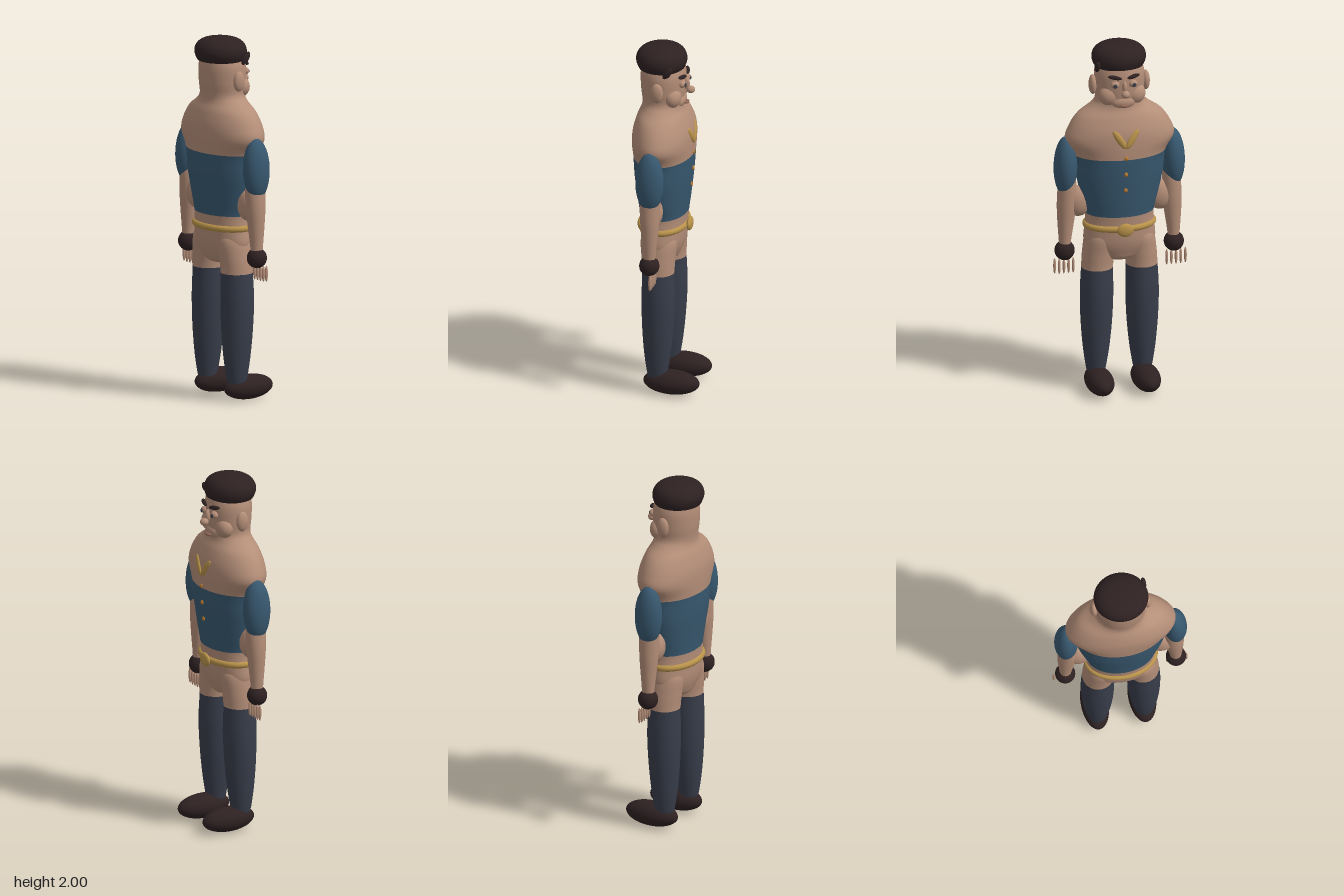
import * as THREE from 'three';

const mat = (name, color) => Object.assign(new THREE.MeshStandardMaterial({ color }), { name });

export function createModel() {
  const skin = mat('skin', 0xb48e78), blue = mat('blueCloth', 0x38586f), slate = mat('slateStocking', 0x383d4a);
  const dark = mat('darkBrown', 0x2e2122), gold = mat('gold', 0xb8924a), amber = mat('amberButton', 0xb87a30);
  const lip = mat('lip', 0x8f6454);
  const group = new THREE.Group();
  group.name = 'figure';

  const add = (name, geo, material) => {
    const m = new THREE.Mesh(geo, material);
    m.name = name;
    group.add(m);
    return m;
  };

  // Scaled sphere at a position, with optional rotation
  const ball = (name, material, pos, radii, rot = [0, 0, 0], seg = 32) => {
    const m = add(name, new THREE.SphereGeometry(1, seg, Math.ceil(seg * 0.7)), material);
    m.position.set(...pos);
    m.scale.set(...radii);
    m.rotation.set(...rot);
    return m;
  };

  // Smooth loft through elliptical rows [y, cx, cz, rx, rz]; bands = [[firstRow, materialIndex], ...]
  const loft = (name, rows, materials, bands = [[0, 0]], N = 48, S = 6) => {
    const centre = new THREE.CatmullRomCurve3(rows.map(r => new THREE.Vector3(r[1], r[0], r[2])), false, 'catmullrom');
    const size = new THREE.CatmullRomCurve3(rows.map(r => new THREE.Vector3(r[3], r[4], 0)), false, 'catmullrom');
    const count = (rows.length - 1) * S, pos = [], idx = [];
    for (let j = 0; j <= count; j++) {
      const c = centre.getPoint(j / count), s = size.getPoint(j / count);
      for (let i = 0; i < N; i++) {
        const a = (i / N) * Math.PI * 2;
        pos.push(c.x + Math.cos(a) * Math.max(s.x, 0.0005), c.y, c.z + Math.sin(a) * Math.max(s.y, 0.0005));
      }
    }
    for (let j = 0; j < count; j++) for (let i = 0; i < N; i++) {
      const a = j * N + i, b = j * N + (i + 1) % N;
      idx.push(a, a + N, b, b, a + N, b + N);
    }
    const g = new THREE.BufferGeometry();
    g.setAttribute('position', new THREE.Float32BufferAttribute(pos, 3));
    g.setIndex(idx);
    g.computeVertexNormals();
    bands.forEach(([row, m], k) => {
      const end = k + 1 < bands.length ? bands[k + 1][0] : rows.length - 1;
      g.addGroup(row * S * N * 6, (end - row) * S * N * 6, m);
    });
    return add(name, g, materials);
  };

  // Hips, shirt, chest, neck and head in one skin
  loft('body', [
    [0.745, 0, 0.035, 0.001, 0.001], [0.765, 0, 0.035, 0.09, 0.075], [0.81, 0, 0.035, 0.165, 0.1],
    [0.87, 0, 0.034, 0.198, 0.117], [0.95, 0, 0.033, 0.193, 0.124], [1.03, 0, 0.032, 0.19, 0.13],
    [1.12, 0, 0.031, 0.212, 0.14], [1.25, 0, 0.032, 0.24, 0.155], [1.375, 0, 0.031, 0.255, 0.163],
    [1.46, 0, 0.032, 0.302, 0.165], [1.53, 0, 0.033, 0.283, 0.16], [1.6, 0, 0.035, 0.235, 0.139],
    [1.65, 0, 0.036, 0.165, 0.117], [1.69, 0, 0.036, 0.134, 0.115], [1.76, 0, 0.036, 0.137, 0.123],
    [1.85, 0, 0.037, 0.135, 0.123], [1.91, 0, 0.04, 0.1, 0.1], [1.94, 0, 0.04, 0.001, 0.001],
  ], [skin, blue], [[0, 0], [5, 1], [8, 0]], 64);

  // Beret and forelock
  loft('beret', [
    [1.865, 0, 0.047, 0.001, 0.001], [1.868, 0, 0.047, 0.115, 0.11], [1.885, 0, 0.047, 0.14, 0.13],
    [1.925, 0, 0.048, 0.149, 0.139], [1.965, 0, 0.048, 0.132, 0.122], [1.99, 0, 0.048, 0.085, 0.08],
    [2.0, 0, 0.048, 0.001, 0.001],
  ], dark);
  ball('forelock', dark, [0.135, 1.89, -0.02], [0.015, 0.04, 0.02], [-0.6, 0, 0]);

  // Face
  ball('nose', skin, [0, 1.752, -0.115], [0.023, 0.021, 0.024]);
  ball('noseBridge', skin, [0, 1.785, -0.092], [0.014, 0.035, 0.018]);
  ball('mouth', lip, [0, 1.678, -0.092], [0.026, 0.008, 0.014]);
  ball('chin', skin, [0, 1.69, -0.045], [0.075, 0.045, 0.045]);

  for (const s of [-1, 1]) {
    const side = s > 0 ? 'right' : 'left';
    ball(side + 'Cheek', skin, [s * 0.07, 1.725, -0.03], [0.06, 0.06, 0.05]);
    ball(side + 'Eyelid', skin, [s * 0.05, 1.8, -0.081], [0.025, 0.021, 0.02]);
    ball(side + 'Iris', slate, [s * 0.053, 1.798, -0.098], [0.011, 0.011, 0.007]);
    ball(side + 'Brow', dark, [s * 0.052, 1.842, -0.083], [0.038, 0.011, 0.013], [0, s * -0.3, s * 0.15]);
    ball(side + 'Ear', skin, [s * 0.148, 1.77, 0.036], [0.022, 0.056, 0.035]);

    // Collar leaves
    ball(side + 'CollarLeaf', gold, [s * 0.036, 1.495, -0.127], [0.02, 0.062, 0.013], [0, s * -0.25, s * -0.6]);

    // Arm: sleeve, forearm, underarm web, glove and fingers
    ball(side + 'Sleeve', blue, [s * 0.3, 1.308, 0.035], [0.064, 0.17, 0.078], [0, 0, s * 0.03], 48);
    loft(side + 'Forearm', [
      [0.82, s * 0.303, 0.035, 0.03, 0.032], [0.88, s * 0.303, 0.035, 0.034, 0.035],
      [1.0, s * 0.298, 0.035, 0.047, 0.046], [1.1, s * 0.293, 0.035, 0.054, 0.054],
      [1.22, s * 0.29, 0.035, 0.048, 0.055], [1.3, s * 0.29, 0.035, 0.03, 0.03],
    ], skin);
    ball(side + 'UnderarmWeb', skin, [s * 0.228, 1.1, 0.035], [0.075, 0.088, 0.052]);
    ball(side + 'Glove', dark, [s * 0.305, 0.818, 0.035], [0.055, 0.056, 0.055]);
    for (let i = 0; i < 5; i++)
      ball(side + 'Finger' + (i + 1), skin, [s * (0.261 + i * 0.026), i === 4 ? 0.738 : 0.734, 0.016],
        [0.008, 0.045, 0.009], [0, 0, 0], 12);

    // Leg: stocking below, bare thigh above
    loft(side + 'Leg', [
      [0.08, s * 0.13, 0.037, 0.045, 0.048], [0.14, s * 0.13, 0.037, 0.057, 0.06],
      [0.25, s * 0.129, 0.036, 0.073, 0.075], [0.4, s * 0.128, 0.034, 0.086, 0.087],
      [0.56, s * 0.127, 0.032, 0.091, 0.092], [0.71, s * 0.124, 0.033, 0.087, 0.088],
      [0.8, s * 0.116, 0.034, 0.089, 0.094], [0.9, s * 0.1, 0.034, 0.088, 0.1], [0.96, s * 0.09, 0.034, 0.05, 0.06],
    ], [slate, skin], [[0, 0], [5, 1]]);
    ball(side + 'Shoe', dark, [s * 0.13, 0.069, -0.042], [0.076, 0.068, 0.157], [0, 0, 0], 48);
  }

  // Shirt buttons
  [[1.385, -0.132], [1.29, -0.128], [1.195, -0.118]].forEach(([y, z], i) =>
    ball('button' + (i + 1), amber, [0, y, z], [0.011, 0.013, 0.009], [0, 0, 0], 16));

  // Belt and buckle
  const loop = new THREE.CatmullRomCurve3(Array.from({ length: 32 }, (_, i) => {
    const a = (i / 32) * Math.PI * 2;
    return new THREE.Vector3(Math.cos(a) * 0.185, 0.96, 0.033 + Math.sin(a) * 0.122);
  }), true);
  add('belt', new THREE.TubeGeometry(loop, 96, 0.019, 12, true), gold);
  ball('buckle', gold, [0, 0.96, -0.111], [0.046, 0.038, 0.016]);

  return group;
}
